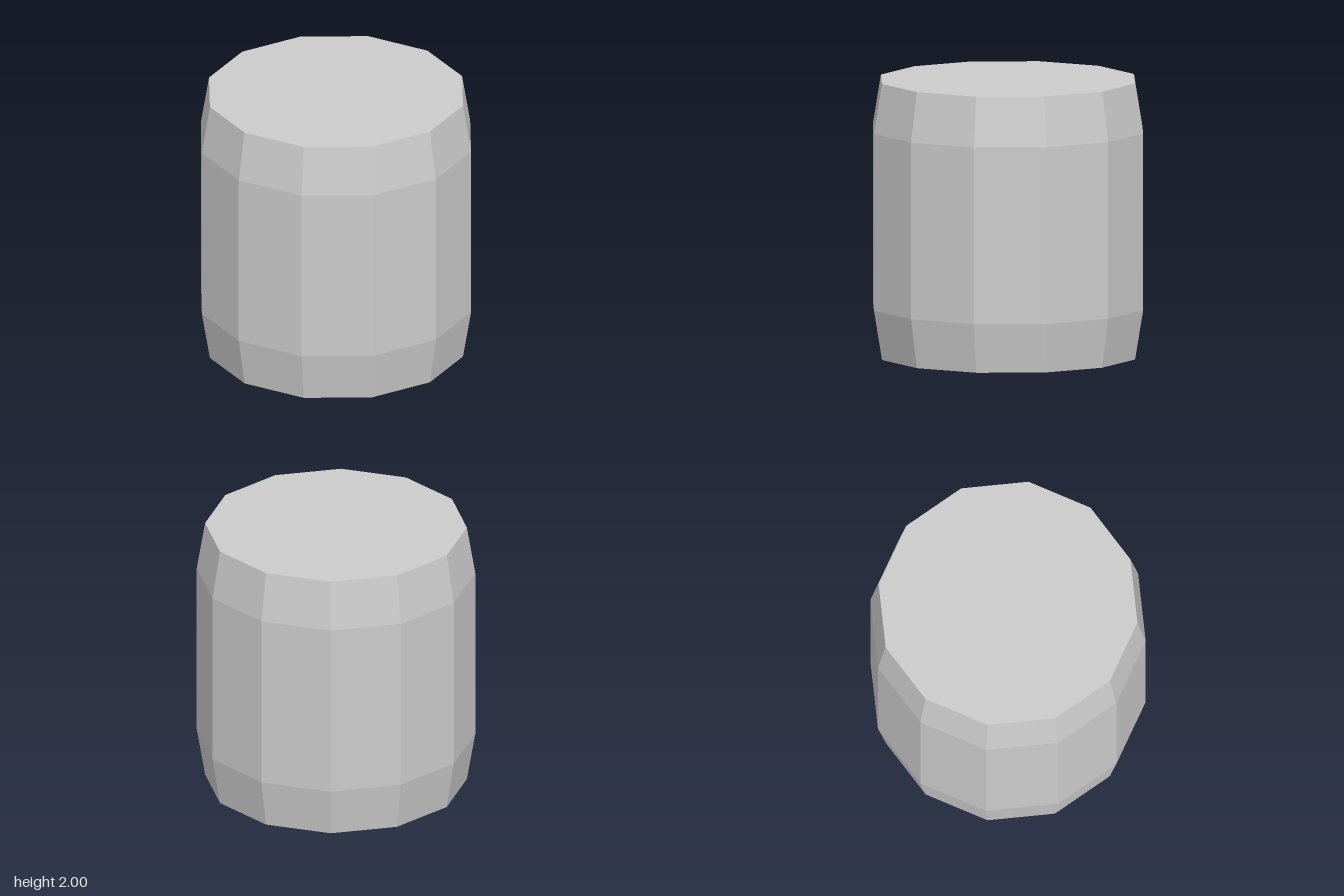
import * as THREE from 'three';

export function createModel() {
  const group = new THREE.Group();
  group.name = 'barrel';

  // Closed profile from bottom centre to top centre: caps, tapered ends, straight middle
  const profile = [[0, 0], [0.94, 0], [1, 0.36], [1, 1.64], [0.94, 2], [0, 2]]
    .map(([r, y]) => new THREE.Vector2(r, y));

  // Twelve-sided faceted body with a corner on each axis
  const body = new THREE.Mesh(
    new THREE.LatheGeometry(profile, 12),
    new THREE.MeshStandardMaterial({ color: 0xcccccc, flatShading: true })
  );
  body.name = 'barrelBody';
  group.add(body);

  return group;
}
